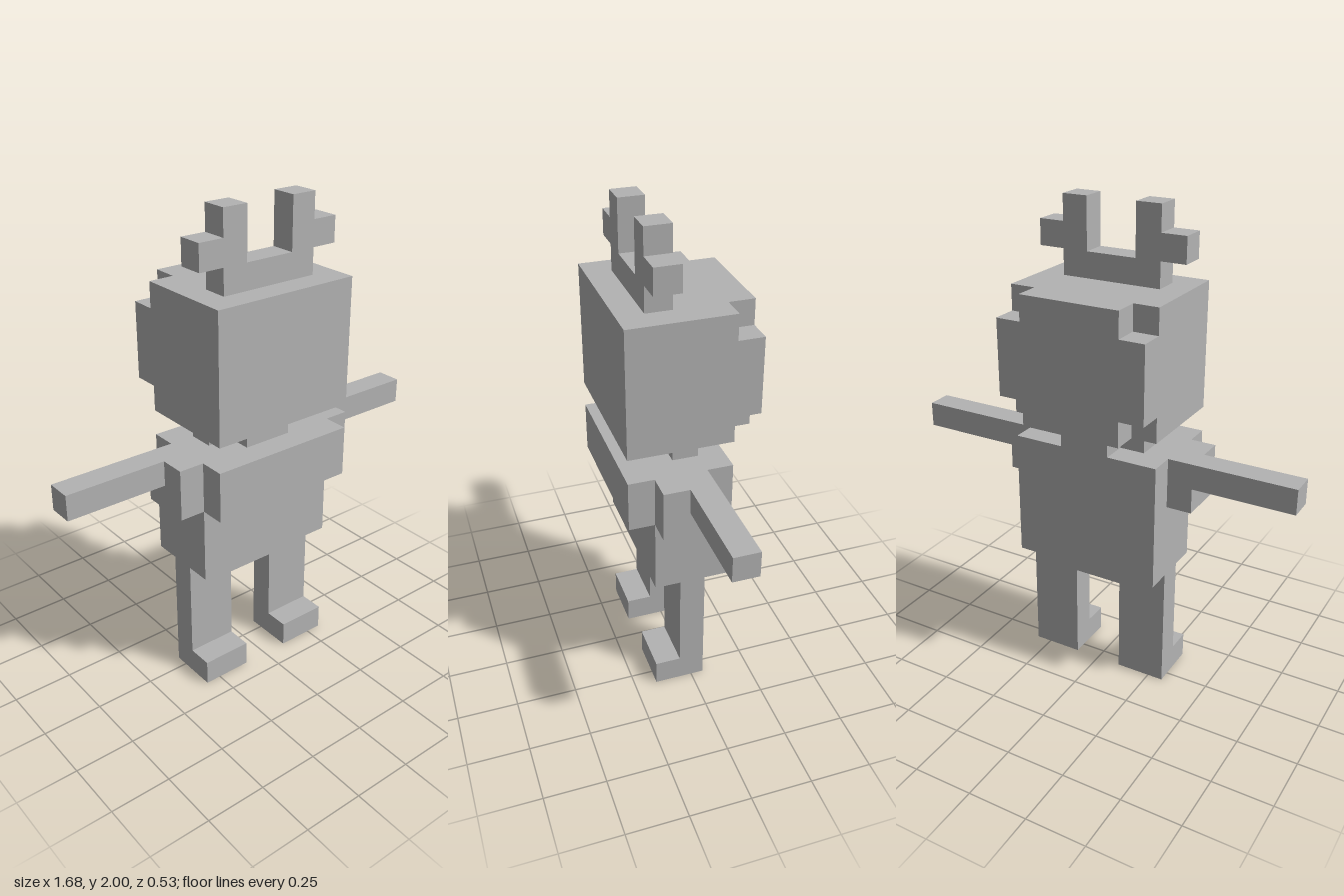
import * as THREE from 'three';

const U = 2 / 19; // one block

export function createModel() {
  const model = new THREE.Group();
  model.name = 'blockFigure';
  const grey = new THREE.MeshStandardMaterial({ color: 0xb3b3b3 });
  grey.name = 'grey';

  const add = (name, geometry) => {
    const mesh = new THREE.Mesh(geometry.scale(U, U, U), grey);
    mesh.name = name;
    model.add(mesh);
    return mesh;
  };

  // Box given by its low and high corners, in blocks
  const box = (name, [x0, y0, z0], [x1, y1, z1]) =>
    add(name, new THREE.BoxGeometry(x1 - x0, y1 - y0, z1 - z0)
      .translate((x0 + x1) / 2, (y0 + y1) / 2, (z0 + z1) / 2));

  // Symmetric outline from its +x half (bottom to top), as a slab from z0 to z1
  const slab = (half, z0, z1) => {
    const mirrored = half.map(([x, y]) => [-x, y]).reverse();
    const shape = new THREE.Shape([...half, ...mirrored].map(([x, y]) => new THREE.Vector2(x, y)));
    return new THREE.ExtrudeGeometry(shape, { depth: z1 - z0, bevelEnabled: false }).translate(0, 0, z0);
  };

  // Legs joined at the hips
  add('legsAndHips', slab([[1, 4], [1, 0], [3, 0], [3, 5]], -0.5, 0.5));

  // Body
  box('torso', [-3, 5, -1.5], [3, 10, 1.5]);
  box('chest', [-3, 8, 1.5], [3, 10, 2.5]);

  // Cross-shaped neck
  const neck = slab([[1, -1.5], [1, -0.5], [2, -0.5], [2, 0.5], [1, 0.5], [1, 1.5]], 0, 1);
  add('neck', neck.rotateX(-Math.PI / 2).translate(0, 10, 0));

  // Head, with the four back corners cut away
  box('head', [-3, 11, -1.5], [3, 16, 2.5]);
  add('headBack', slab([[2, 11], [2, 12], [3, 12], [3, 15], [2, 15], [2, 16]], -2.5, -1.5));

  // Antlers
  add('antlers', slab([[2, 16], [2, 17], [3, 17], [3, 18], [2, 18], [2, 19], [1, 19], [1, 17]], 0.5, 1.5));

  // Paired parts
  for (const [side, s] of [['left', 1], ['right', -1]]) {
    const pair = (name, x0, x1, y0, y1, z0, z1) =>
      box(side + name, [Math.min(s * x0, s * x1), y0, z0], [Math.max(s * x0, s * x1), y1, z1]);
    pair('Foot', 1, 3, 0, 1, 0.5, 1.5);
    pair('Shoulder', 3, 4, 8, 10, -0.5, 1.5);
    pair('Arm', 4, 8, 9, 10, -0.5, 0.5);
  }

  return model;
}
